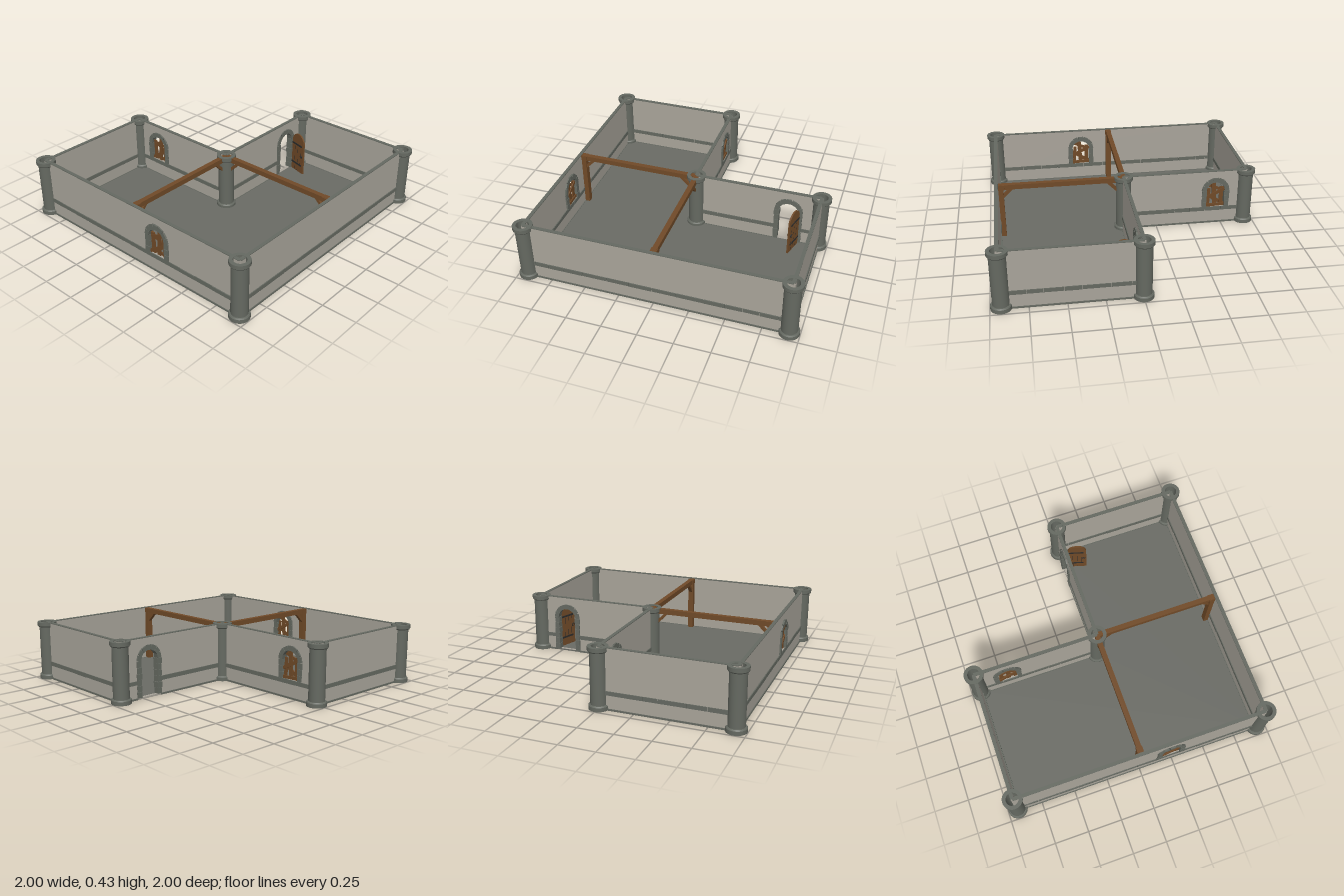
import * as THREE from 'three';
import { toCreasedNormals } from 'three/addons/utils/BufferGeometryUtils.js';

const mat = (name, color) => {
  const m = new THREE.MeshStandardMaterial({ color });
  m.name = name;
  return m;
};

// Small seeded generator for irregular masonry
let seed = 7;
const rnd = (a, b) => {
  seed = (seed * 16807) % 2147483647;
  return a + (b - a) * (seed / 2147483647);
};

const H = 0.43, C = 0.928;              // wall height, distance to the outer wall lines
const R_IN = 0.073, ARCH_Y = 0.27;      // opening half width, arch spring height

export function createModel() {
  const model = new THREE.Group();
  const plaster = mat('plaster', 0xa9a49a);
  const stone = mat('stone', 0x656961);
  const floorStone = mat('floor stone', 0x6a6b65);
  const wood = mat('wood', 0x704a28);
  const iron = mat('iron', 0x2c2c2b);

  const add = (parent, name, geo, material, x = 0, y = 0, z = 0) => {
    const mesh = new THREE.Mesh(geo, material);
    mesh.name = name;
    mesh.position.set(x, y, z);
    parent.add(mesh);
    return mesh;
  };
  const box = (parent, name, w, h, d, material, x, y, z) =>
    add(parent, name, new THREE.BoxGeometry(w, h, d), material, x, y, z);
  const named = (name, parent) => {
    const g = new THREE.Group();
    g.name = name;
    parent.add(g);
    return g;
  };

  // L-shaped floor slab
  const e = C + 0.012;
  const plan = new THREE.Shape([[-e, -e], [e, -e], [e, 0.012], [0.012, 0.012], [0.012, e], [-e, e]]
    .map(([x, y]) => new THREE.Vector2(x, y)));
  const slab = new THREE.ExtrudeGeometry(plan, { depth: 0.01, bevelEnabled: false });
  slab.rotateX(-Math.PI / 2);
  add(model, 'floor', slab, floorStone);

  // Round pillars with a hollow cap
  const profile = [[0, 0], [0.07, 0], [0.07, 0.028], [0.064, 0.036], [0.057, 0.036], [0.057, 0.395],
    [0.064, 0.397], [0.07, 0.405], [0.07, 0.432], [0.044, 0.432], [0.044, 0.011], [0, 0.011]]
    .map(([x, y]) => new THREE.Vector2(x, y));
  const pillarGeo = toCreasedNormals(new THREE.LatheGeometry(profile, 28), 0.5);
  for (const [x, z] of [[-C, -C], [0, -C], [0, 0], [C, 0], [C, C], [-C, C]])
    add(model, 'pillar', pillarGeo, stone, x, 0, z);

  // Arched outline, standing on y0 and centred on u
  const archPath = (Type, u, y0, r) => {
    const p = new Type();
    p.moveTo(u - r, y0);
    p.lineTo(u + r, y0);
    p.lineTo(u + r, ARCH_Y);
    p.absarc(u, ARCH_Y, r, 0, Math.PI, false);
    p.lineTo(u - r, y0);
    return p;
  };

  // Rough stone blocks around an opening
  const stoneArch = (parent, u, y0) => {
    const g = named('stoneArch', parent);
    const rows = Math.round((ARCH_Y - y0) / 0.045), step = (ARCH_Y - y0) / rows;
    for (const s of [-1, 1]) {
      for (let i = 0; i < rows; i++) {
        box(g, 'jambStone', rnd(0.032, 0.04), step * 0.95, rnd(0.042, 0.05), stone,
          u + s * 0.086, y0 + step * (i + 0.5), 0);
      }
    }
    const n = 7;
    for (let i = 0; i < n; i++) {
      const a = Math.PI * (i + 0.5) / n;
      const b = box(g, 'archStone', rnd(0.032, 0.038), 0.039, rnd(0.042, 0.05), stone,
        u + Math.cos(a) * 0.087, ARCH_Y + Math.sin(a) * 0.087, 0);
      b.rotation.z = a;
    }
  };

  // Crossed boards over a window: x, y, length, width, tilt
  const boards = [[-0.047, 0.215, 0.16, 0.03, 0.03], [0.008, 0.235, 0.20, 0.03, -0.06],
    [0.052, 0.21, 0.15, 0.025, 0.05], [0.0, 0.19, 0.165, 0.025, -1.0],
    [0.0, 0.245, 0.16, 0.024, 1.1], [0.005, 0.29, 0.13, 0.022, -1.15], [0, 0.15, 0.14, 0.022, 1.52]];
  const boardWindow = (parent, u) => {
    const g = named('windowBoards', parent);
    boards.forEach(([x, y, len, w, tilt], i) => {
      const b = box(g, 'board', w, len, 0.009, wood, u + x, y, i < 3 ? 0 : i % 2 ? 0.008 : -0.008);
      b.rotation.z = tilt;
    });
  };

  // One wall from a to b, with optional openings {u, door}
  const wall = ([ax, az], [bx, bz], opening) => {
    const g = named('wall', model);
    const len = Math.hypot(bx - ax, bz - az);
    g.position.set(ax, 0, az);
    g.rotation.y = -Math.atan2(bz - az, bx - ax);
    const shape = new THREE.Shape([[0, 0], [len, 0], [len, H - 0.004], [0, H - 0.004]]
      .map(([x, y]) => new THREE.Vector2(x, y)));
    const y0 = opening && opening.door ? 0.011 : 0.136;
    if (opening) shape.holes.push(archPath(THREE.Path, opening.u, y0, R_IN));
    const geo = new THREE.ExtrudeGeometry(shape, { depth: 0.024, bevelEnabled: false, curveSegments: 16 });
    add(g, 'wallPanel', geo, plaster, 0, 0, -0.012);
    box(g, 'wallTop', len, 0.005, 0.025, stone, len / 2, H - 0.002, 0);

    // Band of long stones and low rubble at the foot, kept clear of a doorway
    const runs = opening && opening.door ? [[0, opening.u - 0.1], [opening.u + 0.1, len]] : [[0, len]];
    for (const [from, to] of runs) {
      box(g, 'footing', to - from, 0.012, 0.036, stone, (from + to) / 2, 0.006, 0);
      for (let u = from; u < to - 0.01;) {
        let w = rnd(0.07, 0.2);
        if (to - u - w < 0.05) w = to - u;
        box(g, 'bandStone', w - 0.003, rnd(0.027, 0.031), rnd(0.034, 0.039), stone, u + w / 2, 0.12, 0);
        if (w < to - u) {
          add(g, 'rubble', new THREE.CylinderGeometry(0.008, 0.02, 0.018, 6).scale(1, 1, 0.95),
            stone, u + w, 0.009, 0);
        }
        u += w;
      }
    }
    if (opening) stoneArch(g, opening.u, y0);
    if (opening && !opening.door) boardWindow(g, opening.u);
    return g;
  };

  wall([-C, C], [C, C]);
  wall([C, 0], [C, C]);
  wall([-C, -C], [0, -C]);
  wall([-C, -C], [-C, C], { u: C + 0.23 });
  wall([0, -C], [0, 0], { u: C - 0.7 });
  wall([0, 0], [C, 0], { u: 0.7, door: true });

  // Open door leaf, hinged beside the doorway and swung inwards
  const door = named('door', model);
  door.position.set(0.783, 0, 0.025);
  door.rotation.y = -Math.atan2(0.155, -0.045);
  const leaf = new THREE.ExtrudeGeometry(archPath(THREE.Shape, 0.08, 0.014, 0.072),
    { depth: 0.012, bevelEnabled: false, curveSegments: 16 });
  add(door, 'doorLeaf', leaf, wood, 0, 0, -0.006);
  for (const y of [0.08, 0.25]) box(door, 'hingeStrap', 0.12, 0.014, 0.018, iron, 0.07, y, 0);
  for (const x of [0.045, 0.08, 0.115]) box(door, 'plankGap', 0.002, 0.24, 0.0126, iron, x, 0.14, 0);
  for (const s of [-1, 1]) {
    const ring = add(door, 'doorRing', new THREE.TorusGeometry(0.011, 0.003, 6, 14), iron, 0.13, 0.165, s * 0.011);
    ring.rotation.x = s * 0.2;
  }

  // Timber frame from the inner pillar to the far wall: beam, post and braces
  const frame = (angle) => {
    const g = named('timberFrame', model);
    g.rotation.y = angle;
    box(g, 'beam', 0.915, 0.036, 0.036, wood, 0.4575, 0.409, 0);
    box(g, 'post', 0.036, 0.385, 0.042, wood, 0.896, 0.2025, 0);
    box(g, 'postHead', 0.044, 0.036, 0.046, wood, 0.893, 0.408, 0);
    for (const [x, s] of [[0.85, 1], [0.085, -1]]) {
      const b = box(g, 'brace', 0.11, 0.02, 0.026, wood, x, 0.363, 0);
      b.rotation.z = -s * Math.PI / 4;
    }
  };
  frame(Math.PI);
  frame(-Math.PI / 2);

  return model;
}
